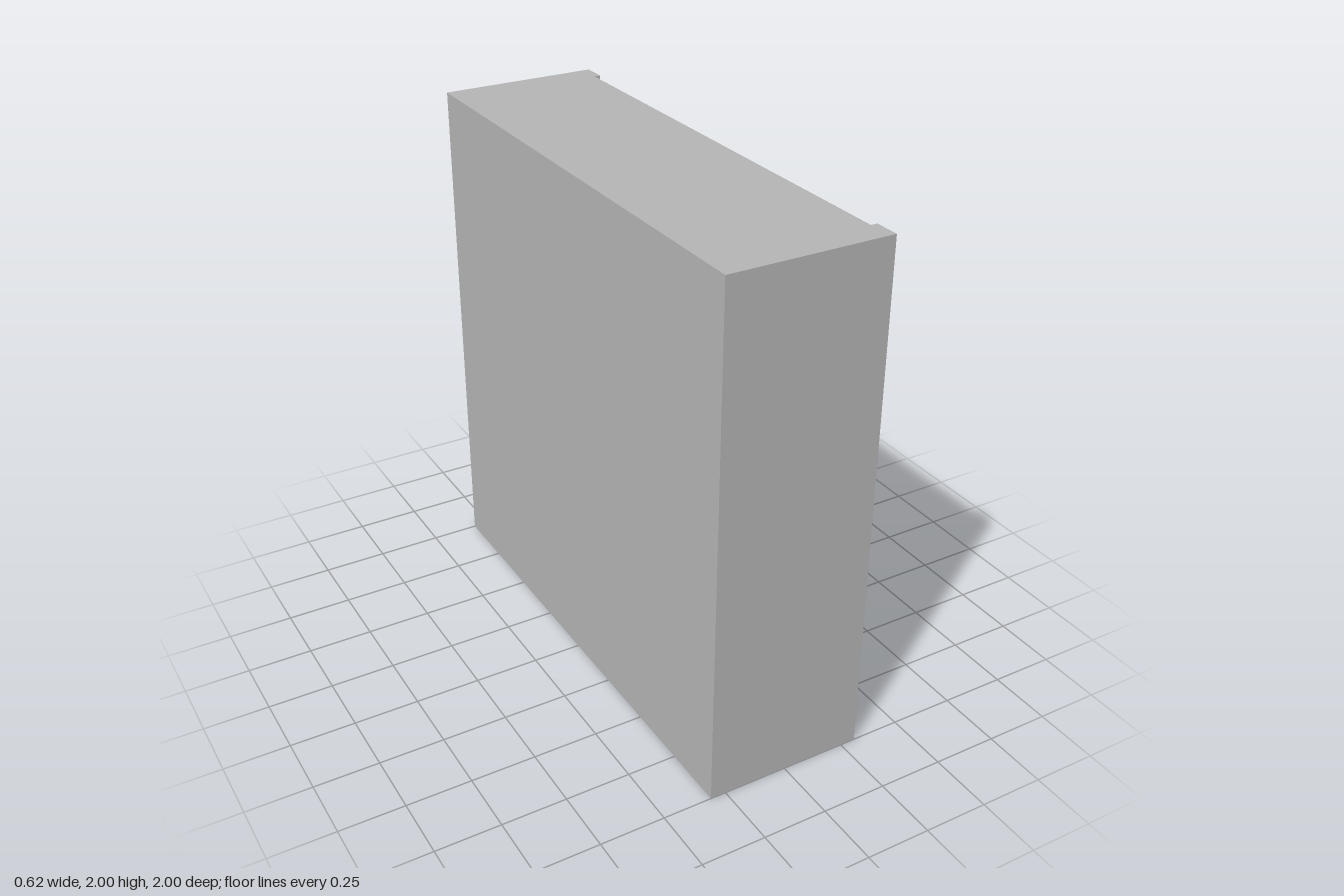
import * as THREE from 'three';

const BACK = -0.31, FRONT = 0.31; // the open side of the cabinet faces +x
const INNER = -0.065;             // rear wall of the compartments
const FACE = 0.285;               // shelf face, set back from the surround

// Extrudes a (z, y) outline along x, from x0 to x1
function slab(name, shape, x0, x1, material) {
  const geometry = new THREE.ExtrudeGeometry(shape, { depth: x1 - x0, bevelEnabled: false });
  geometry.rotateY(Math.PI / 2).translate(x0, 0, 0);
  const mesh = new THREE.Mesh(geometry, material);
  mesh.name = name;
  return mesh;
}

function outline(Type, points) {
  return new Type(points.map(([u, v]) => new THREE.Vector2(u, v)));
}

function rect(Type, halfWidth, bottom, top) {
  return outline(Type, [[-halfWidth, bottom], [halfWidth, bottom], [halfWidth, top], [-halfWidth, top]]);
}

export function createModel() {
  const model = new THREE.Group();
  model.name = 'shelfCabinet';
  const grey = new THREE.MeshStandardMaterial({ color: 0xb3b3b3 });
  grey.name = 'grey';

  // Solid rear body
  model.add(slab('backBody', rect(THREE.Shape, 1, 0, 2), BACK, INNER, grey));

  // Shelf block with four compartments
  const shelves = rect(THREE.Shape, 1, 0, 2);
  for (let i = 0; i < 4; i++) {
    const bottom = 0.278 + i * 0.411;
    shelves.holes.push(rect(THREE.Path, 0.875, bottom, bottom + 0.365));
  }
  model.add(slab('shelves', shelves, INNER, FACE, grey));

  // Raised surround: two side posts and a plinth, open at the top
  const surround = outline(THREE.Shape, [
    [-1, 0], [1, 0], [1, 2], [0.903, 2], [0.903, 0.25], [-0.903, 0.25], [-0.903, 2], [-1, 2],
  ]);
  model.add(slab('frontSurround', surround, FACE, FRONT, grey));

  return model;
}
